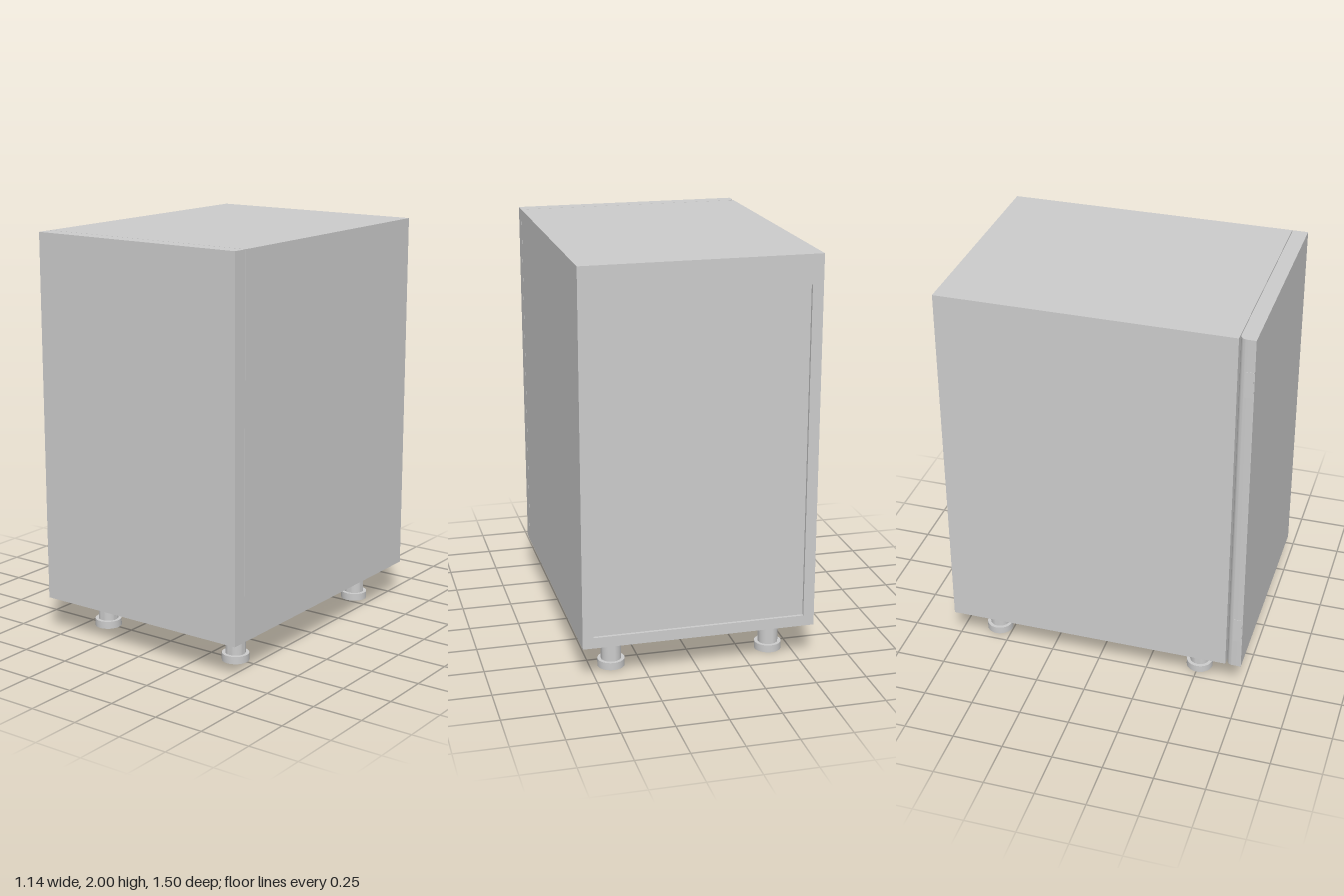
import * as THREE from 'three';
import { toCreasedNormals } from 'three/addons/utils/BufferGeometryUtils.js';

const W = 0.568, D = 0.75, BOTTOM = 0.18, TOP = 2; // half width, half depth, carcass heights
const SEAM = 0.672; // where carcass meets door
const T = 0.053; // panel thickness

export function createModel() {
  const model = new THREE.Group();
  const mat = new THREE.MeshStandardMaterial({ color: 0xcccccc });

  const add = (name, geometry) => {
    const mesh = new THREE.Mesh(geometry, mat);
    mesh.name = name;
    model.add(mesh);
    return mesh;
  };
  // Box given by its minimum and maximum on each axis
  const panel = (name, x0, x1, y0, y1, z0, z1) =>
    add(name, new THREE.BoxGeometry(x1 - x0, y1 - y0, z1 - z0))
      .position.set((x0 + x1) / 2, (y0 + y1) / 2, (z0 + z1) / 2);

  // Carcass: sides, top, base, rear rail and the recessed back
  panel('leftSide', W - T, W, BOTTOM, TOP, -D, SEAM);
  panel('rightSide', -W, -W + T, BOTTOM, TOP, -D, SEAM);
  panel('topPanel', -W + T, W - T, TOP - T, TOP, -D, SEAM);
  panel('basePanel', -W + T, W - T, BOTTOM, BOTTOM + T, -D, SEAM);
  panel('rearRail', -W + T, W - T, TOP - 0.14, TOP - T, -D, -D + T);
  panel('backPanel', -W + T, W - T, BOTTOM + T, TOP - 0.14, -D + 0.015, -D + 0.04);

  // Door: full-height slab with its rear hinge-side corner rounded
  const z0 = SEAM + 0.003;
  const outline = new THREE.Shape();
  outline.moveTo(-W, D);
  outline.lineTo(-W, z0 + 0.035);
  outline.quadraticCurveTo(-W, z0 + 0.006, -W + 0.032, z0);
  outline.lineTo(W, z0);
  outline.lineTo(W, D);
  outline.closePath();
  const door = new THREE.ExtrudeGeometry(outline, { depth: TOP - BOTTOM, bevelEnabled: false, curveSegments: 8 });
  door.rotateX(Math.PI / 2).translate(0, TOP, 0);
  add('door', toCreasedNormals(door, 0.5));

  // Hinge plates on the door edge
  for (const y of [0.4, 1.775]) {
    panel('hingePlate', -W - 0.002, -W + 0.03, y - 0.065, y + 0.065, 0.706, 0.746);
  }

  // Adjustable feet: stem between two flanges
  const profile = [[0, 0], [0.066, 0], [0.066, 0.037], [0.049, 0.037], [0.049, 0.143], [0.066, 0.143], [0.066, BOTTOM], [0, BOTTOM]]
    .map(([r, y]) => new THREE.Vector2(r, y));
  const foot = toCreasedNormals(new THREE.LatheGeometry(profile, 32), 0.6);
  for (const x of [-0.395, 0.395]) {
    for (const z of [-0.571, 0.503]) add('foot', foot).position.set(x, 0, z);
  }
  return model;
}
